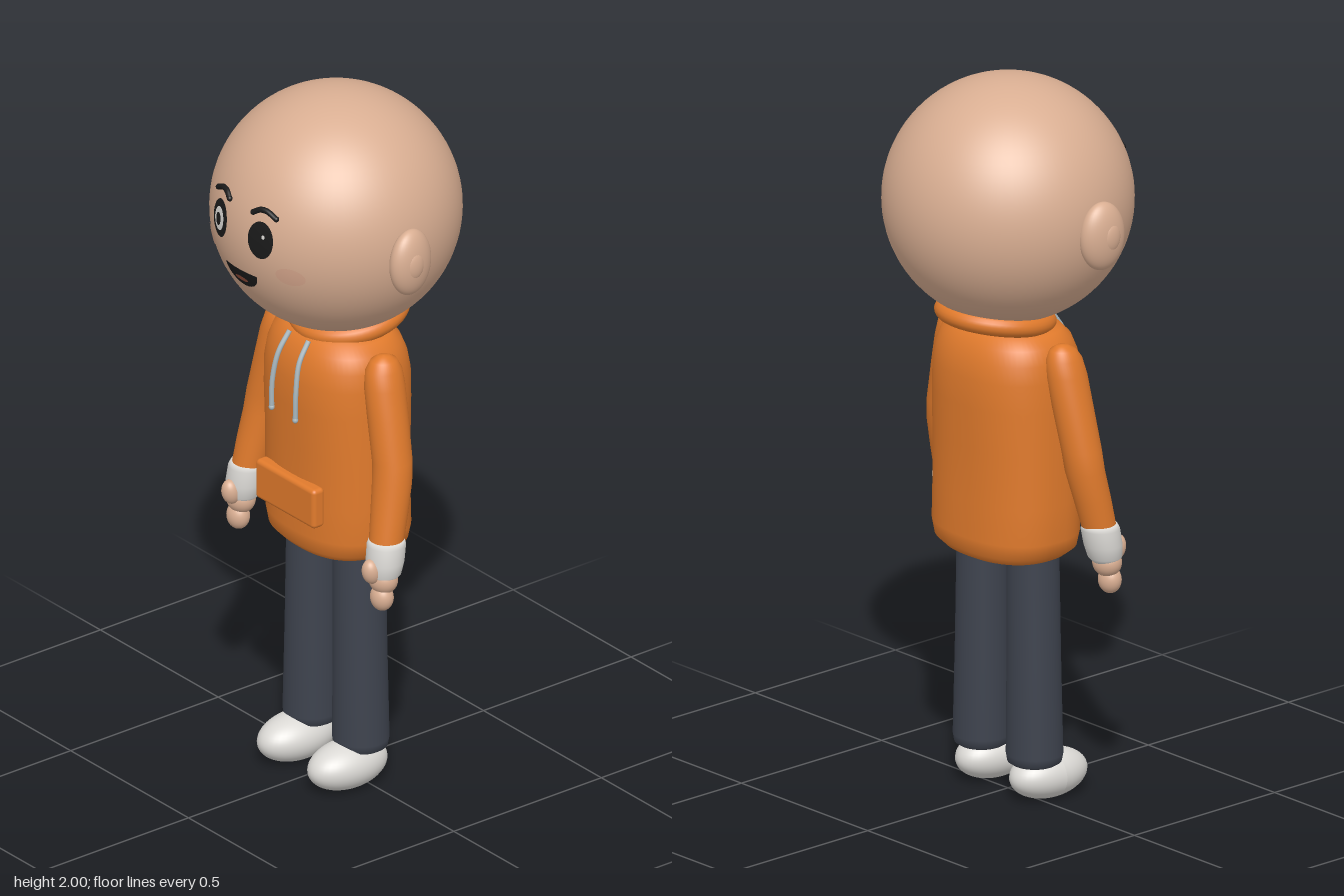
import * as THREE from 'three';
import { RoundedBoxGeometry } from 'three/addons/geometries/RoundedBoxGeometry.js';

const HEAD_Y = 1.665, HEAD_R = 0.336;

export function createModel() {
  const root = new THREE.Group();
  root.name = 'figure';

  const mat = (name, color) => {
    const m = new THREE.MeshStandardMaterial({ color });
    m.name = name;
    return m;
  };
  const skin = mat('skin', 0xd9ae92);
  const blush = mat('blush', 0xd6a68c);
  const orange = mat('hoodie orange', 0xe07a2c);
  const navy = mat('trouser grey', 0x3e434e);
  const white = mat('off white', 0xdad8d4);
  const black = mat('black', 0x1a1a1a);
  const cord = mat('cord grey', 0xa9b8bf);
  const tongueRed = mat('tongue', 0x8a4a38);

  const add = (name, geo, material, pos = [0, 0, 0], parent = root) => {
    const m = new THREE.Mesh(geo, material);
    m.name = name;
    m.position.set(...pos);
    parent.add(m);
    return m;
  };
  const ball = (name, material, pos, size, rot = [0, 0, 0]) => {
    const m = add(name, new THREE.SphereGeometry(1, 40, 28), material, pos);
    m.scale.set(...size);
    m.rotation.set(...rot);
    return m;
  };

  // Smooth loft through rounded cross-sections: rows of [y, cx, cz, hx, hz]
  const loft = (rows, power = 2, seg = 48) => {
    const p = [], idx = [], e = 2 / power;
    const curve = (v) => Math.sign(v) * Math.pow(Math.abs(v), e);
    for (const [y, cx, cz, hx, hz] of rows) {
      for (let i = 0; i < seg; i++) {
        const a = (i / seg) * Math.PI * 2;
        p.push(cx + hx * curve(Math.sin(a)), y, cz + hz * curve(Math.cos(a)));
      }
    }
    for (let r = 0; r < rows.length - 1; r++) {
      for (let i = 0; i < seg; i++) {
        const a = r * seg + i, b = r * seg + (i + 1) % seg;
        idx.push(a, b, a + seg, b, b + seg, a + seg);
      }
    }
    const g = new THREE.BufferGeometry();
    g.setAttribute('position', new THREE.Float32BufferAttribute(p, 3));
    g.setIndex(idx);
    g.computeVertexNormals();
    return g;
  };

  // Face detail: an elliptical patch wrapped onto the head
  const onHead = (x, y, lift) => {
    const r = HEAD_R + lift;
    return Math.sqrt(r * r - x * x - (y - HEAD_Y) ** 2);
  };
  const patch = (name, material, x, y, w, h, lift, start = 0, sweep = Math.PI * 2) => {
    const g = new THREE.RingGeometry(0.001, 1, 36, 5, start, sweep);
    g.scale(w, h, 1).translate(x, y, 0);
    const p = g.attributes.position;
    for (let i = 0; i < p.count; i++) p.setZ(i, onHead(p.getX(i), p.getY(i), lift));
    g.computeVertexNormals();
    return add(name, g, material);
  };

  // Head and face
  add('head', new THREE.SphereGeometry(HEAD_R, 72, 48), skin, [0, HEAD_Y, 0]);
  add('neck', new THREE.CylinderGeometry(0.08, 0.085, 0.16, 32), skin, [0, 1.33, -0.01]);
  for (const s of [-1, 1]) {
    patch('eye', black, s * 0.085, 1.695, 0.04, 0.053, 0.003);
    patch('cheek', blush, s * 0.165, 1.605, 0.037, 0.026, 0.002);
    const brow = [[0.05, 1.765], [0.07, 1.777], [0.092, 1.778], [0.122, 1.765]]
      .map(([x, y]) => new THREE.Vector3(s * x, y, onHead(x, y, 0.003)));
    add('eyebrow', new THREE.TubeGeometry(new THREE.CatmullRomCurve3(brow), 20, 0.008, 10), black);
    for (const end of [brow[0], brow[3]]) ball('eyebrowTip', black, end.toArray(), [0.008, 0.008, 0.008]);
    // Ears
    ball('ear', skin, [s * 0.345, 1.64, 0.024], [0.04, 0.095, 0.068], [0, s * 0.12, 0]);
    ball('innerEar', skin, [s * 0.373, 1.642, 0.032], [0.016, 0.042, 0.03]);
  }
  patch('eyeRing', white, -0.085, 1.695, 0.025, 0.033, 0.005);
  patch('pupil', black, -0.085, 1.695, 0.013, 0.018, 0.007);
  patch('eyeGlint', white, 0.096, 1.708, 0.005, 0.006, 0.005);
  patch('mouth', black, 0, 1.577, 0.065, 0.052, 0.003, Math.PI, Math.PI);
  patch('tongue', tongueRed, 0, 1.548, 0.026, 0.007, 0.005);

  // Hoodie body with rounded hem and shoulders
  add('hoodieBody', loft([
    [0.69, 0, -0.008, 0.001, 0.001],
    [0.68, 0, -0.008, 0.13, 0.1],
    [0.688, 0, -0.008, 0.175, 0.135],
    [0.71, 0, -0.008, 0.203, 0.155],
    [0.75, 0, -0.008, 0.213, 0.16],
    [0.85, 0, -0.006, 0.214, 0.158],
    [1.0, 0, -0.006, 0.212, 0.16],
    [1.12, 0, -0.005, 0.209, 0.167],
    [1.2, 0, -0.005, 0.206, 0.167],
    [1.25, 0, -0.005, 0.199, 0.158],
    [1.29, 0, -0.005, 0.185, 0.142],
    [1.315, 0, -0.005, 0.16, 0.12],
    [1.33, 0, -0.005, 0.12, 0.09],
    [1.335, 0, -0.005, 0.001, 0.001],
  ], 2.4, 64), orange);

  // Folded hood around the neck
  const hood = add('hood', new THREE.TorusGeometry(0.128, 0.034, 20, 56), orange, [0, 1.344, -0.045]);
  hood.rotation.x = Math.PI / 2 + 0.17;
  hood.scale.set(1, 1.02, 0.85);

  add('pocket', new RoundedBoxGeometry(0.25, 0.115, 0.04, 4, 0.012), orange, [0, 0.858, 0.156]);

  for (const s of [-1, 1]) {
    // Drawstrings
    const string = new THREE.CatmullRomCurve3([
      [0.04, 1.315, 0.125], [0.044, 1.26, 0.16], [0.05, 1.18, 0.176], [0.05, 1.1, 0.178],
    ].map(([x, y, z]) => new THREE.Vector3(s * x, y, z)));
    add('drawstring', new THREE.TubeGeometry(string, 24, 0.007, 10), cord);
    ball('drawstringTip', cord, [s * 0.05, 1.1, 0.178], [0.008, 0.009, 0.008]);

    // Sleeve
    add('sleeve', loft([
      [0.78, s * 0.293, 0.066, 0.045, 0.046],
      [0.88, s * 0.283, 0.045, 0.051, 0.05],
      [0.96, s * 0.273, 0.028, 0.054, 0.053],
      [1.02, s * 0.266, 0.022, 0.054, 0.054],
      [1.14, s * 0.238, 0.015, 0.054, 0.056],
      [1.22, s * 0.22, 0.011, 0.052, 0.057],
      [1.265, s * 0.212, 0.008, 0.046, 0.051],
      [1.29, s * 0.21, 0.006, 0.033, 0.036],
      [1.301, s * 0.209, 0.005, 0.015, 0.016],
      [1.303, s * 0.209, 0.005, 0.001, 0.001],
    ]), orange);

    // Cuff
    add('cuff', loft([
      [0.705, s * 0.3, 0.077, 0.001, 0.001],
      [0.702, s * 0.3, 0.077, 0.034, 0.034],
      [0.715, s * 0.299, 0.076, 0.047, 0.045],
      [0.75, s * 0.297, 0.071, 0.053, 0.051],
      [0.795, s * 0.294, 0.064, 0.053, 0.052],
      [0.808, s * 0.293, 0.062, 0.048, 0.047],
      [0.81, s * 0.293, 0.062, 0.001, 0.001],
    ]), white);

    // Hand
    ball('palm', skin, [s * 0.302, 0.698, 0.081], [0.042, 0.04, 0.038]);
    ball('fingers', skin, [s * 0.305, 0.648, 0.088], [0.034, 0.038, 0.03]);
    ball('thumb', skin, [s * 0.298, 0.73, 0.118], [0.025, 0.036, 0.026], [0.2, 0, 0]);

    // Trouser leg
    add('leg', loft([
      [0.105, s * 0.105, 0, 0.001, 0.001],
      [0.1, s * 0.105, 0, 0.06, 0.06],
      [0.108, s * 0.105, 0, 0.073, 0.072],
      [0.13, s * 0.105, 0, 0.077, 0.076],
      [0.4, s * 0.102, 0, 0.073, 0.072],
      [0.74, s * 0.098, 0, 0.07, 0.07],
    ]), navy);

    // Shoe, flattened slightly underneath
    const shoe = new THREE.SphereGeometry(1, 40, 28);
    const p = shoe.attributes.position;
    for (let i = 0; i < p.count; i++) p.setY(i, Math.max(p.getY(i), -0.94));
    shoe.scale(0.076, 0.066, 0.122);
    shoe.computeVertexNormals();
    add('shoe', shoe, white, [s * 0.107, 0.062, 0.047]);
  }
  return root;
}
